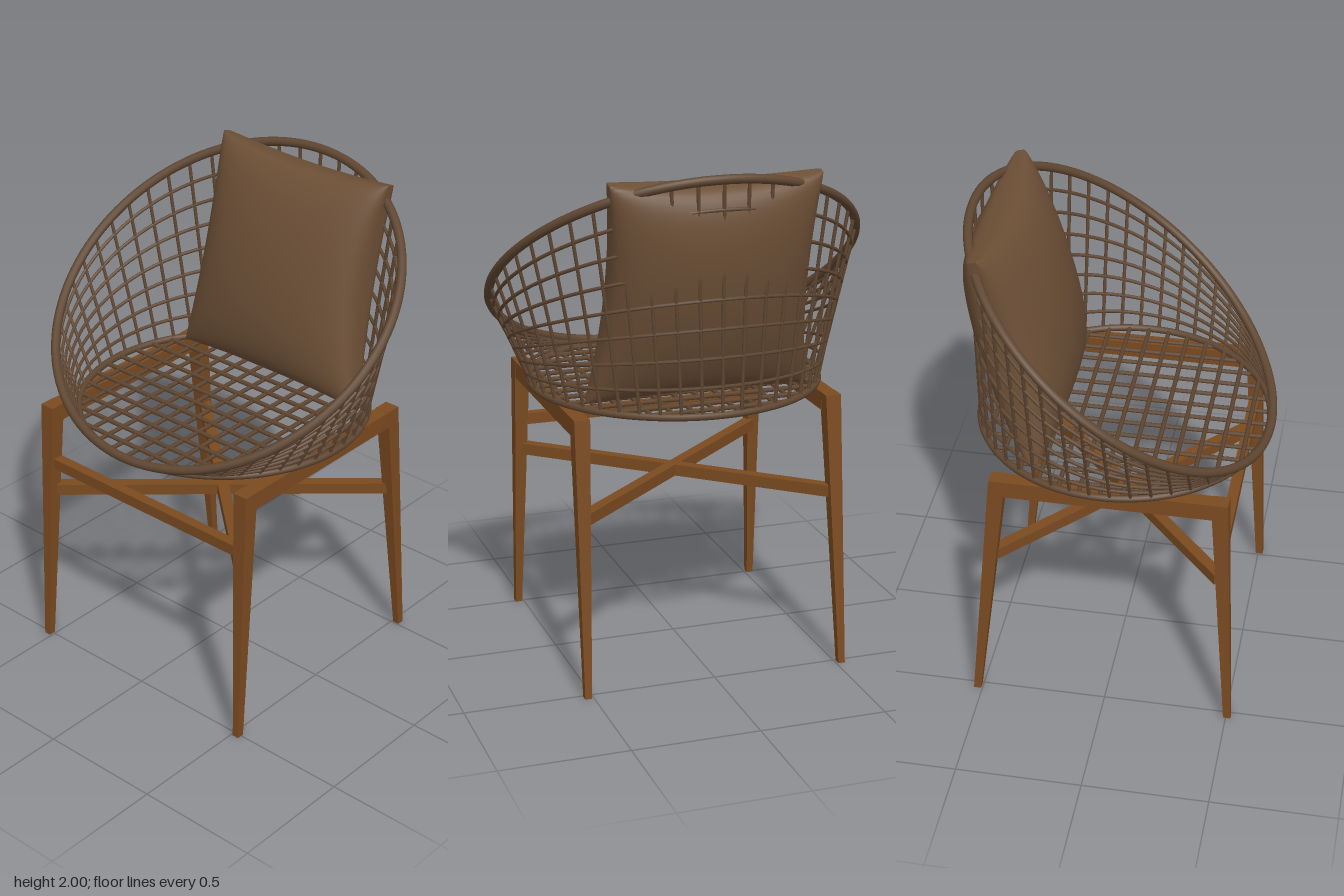
import * as THREE from 'three';
import { mergeGeometries, mergeVertices } from 'three/addons/utils/BufferGeometryUtils.js';

export function createModel() {
  const root = new THREE.Group();
  const mat = (name, color) => {
    const m = new THREE.MeshStandardMaterial({ color });
    m.name = name;
    return m;
  };
  const wood = mat('wood', 0x7a4a20);
  const wicker = mat('wicker', 0x5f4631);
  const fabric = mat('fabric', 0x6c4f36);

  const add = (name, geometry, material, parent = root) => {
    const mesh = new THREE.Mesh(geometry, material);
    mesh.name = name;
    parent.add(mesh);
    return mesh;
  };
  // straight round rod between two points
  const rod = (a, b, r, sides = 6) => {
    const d = b.clone().sub(a);
    const g = new THREE.CylinderGeometry(r, r, d.length(), sides, 1);
    g.applyQuaternion(new THREE.Quaternion().setFromUnitVectors(
      new THREE.Vector3(0, 1, 0), d.normalize()));
    return g.translate((a.x + b.x) / 2, (a.y + b.y) / 2, (a.z + b.z) / 2);
  };
  // closed tube through a function of angle
  const hoop = (fn, r, sides) => {
    const pts = [];
    for (let i = 0; i < 48; i++) pts.push(fn((i / 48) * Math.PI * 2));
    return new THREE.TubeGeometry(new THREE.CatmullRomCurve3(pts, true), 120, r, sides, true);
  };

  // ---- wooden frame ----
  const frame = new THREE.Group();
  frame.name = 'frame';
  root.add(frame);
  const H = 1.08;

  // tapered leg: outer face upright, inner face and z position slide with height
  const leg = (side, zTop, zBottom) => {
    const g = new THREE.BoxGeometry(1, 1, 1);
    const p = g.attributes.position;
    for (let i = 0; i < p.count; i++) {
      const t = p.getY(i) + 0.5;
      const outer = p.getX(i) * side > 0;
      const z = THREE.MathUtils.lerp(zBottom, zTop, t);
      const depth = THREE.MathUtils.lerp(0.03, 0.064, t);
      p.setXYZ(i, side * (outer ? 0.535 : THREE.MathUtils.lerp(0.508, 0.473, t)),
        t * H, z + p.getZ(i) * depth);
    }
    g.computeVertexNormals();
    return g;
  };
  for (const side of [1, -1]) {
    const label = side > 0 ? 'left' : 'right';
    add(label + 'FrontLeg', leg(side, 0.448, 0.505), wood, frame);
    add(label + 'BackLeg', leg(side, -0.403, -0.52), wood, frame);
    add(label + 'SideRail', new THREE.BoxGeometry(0.06, 0.07, 0.82), wood, frame)
      .position.set(side * 0.504, 1.044, 0.02);
    // diagonal stretcher, front leg to opposite back leg
    const stretcher = add(label + 'DiagonalStretcher',
      new THREE.BoxGeometry(Math.hypot(0.99, 0.89), 0.046, 0.045), wood, frame);
    stretcher.position.set(0, 0.697, 0.005);
    stretcher.rotation.y = side * Math.atan2(0.89, 0.99);
  }
  add('frontStretcher', new THREE.BoxGeometry(0.99, 0.045, 0.042), wood, frame)
    .position.set(0, 0.823, 0.455);

  // ---- woven basket ----
  const basket = new THREE.Group();
  basket.name = 'basket';
  root.add(basket);
  const R = 0.57, baseY = 1.09;
  const basePoint = (a) => new THREE.Vector3(R * Math.cos(a), baseY, R * Math.sin(a));
  const rimPoint = (a) => {
    const z = 0.575 * Math.sin(a);
    return new THREE.Vector3(0.727 * Math.cos(a), 1.535 - 0.775 * z, z);
  };
  const wall = (a, t) => basePoint(a).lerp(rimPoint(a), t);

  add('rim', hoop(rimPoint, 0.018, 10), wicker, basket);
  add('baseRing', hoop(basePoint, 0.014, 8), wicker, basket);

  const hoops = [], uprights = [], lattice = [];
  for (let k = 1; k < 8; k++) hoops.push(hoop((a) => wall(a, k / 8), 0.007, 6));
  const N = 46;
  for (let i = 0; i < N; i++) {
    const a = ((i + 0.5) / N) * Math.PI * 2;
    uprights.push(rod(wall(a, 0), wall(a, 1), 0.007));
  }
  // seat lattice clipped to the base ring
  for (let i = -6; i <= 6; i++) {
    const d = i * 0.082, h = Math.sqrt(R * R - d * d);
    lattice.push(rod(new THREE.Vector3(d, 1.085, -h), new THREE.Vector3(d, 1.085, h), 0.009));
    lattice.push(rod(new THREE.Vector3(-h, 1.092, d), new THREE.Vector3(h, 1.092, d), 0.009));
  }
  add('wallHoops', mergeGeometries(hoops), wicker, basket);
  add('wallUprights', mergeGeometries(uprights), wicker, basket);
  add('seatLattice', mergeGeometries(lattice), wicker, basket);

  // ---- back cushion: two puffed sheets sharing a pinched seam ----
  const sheet = (dir) => {
    const g = new THREE.PlaneGeometry(2, 2, 32, 32);
    const p = g.attributes.position;
    for (let i = 0; i < p.count; i++) {
      // crowd the grid toward the seam for a rounded edge
      const u = Math.sin(p.getX(i) * Math.PI / 2) * dir;
      const v = Math.sin(p.getY(i) * Math.PI / 2);
      const cu = Math.max(0, 1 - u * u), cv = Math.max(0, 1 - v * v);
      const x = u * (0.428 - 0.014 * v) * (1 - 0.09 * cv);
      const y = v * 0.445 * (1 - 0.05 * cu);
      const z = dir * (0.158 * Math.pow(cu * cv, 0.42) + 0.016);
      p.setXYZ(i, x, y, z);
    }
    g.deleteAttribute('uv');
    g.deleteAttribute('normal');
    return g;
  };
  // narrow band closing the seam
  const seam = () => {
    const g = new THREE.BoxGeometry(2, 2, 2, 32, 32, 1);
    const idx = Array.from(g.index.array).slice(0, g.groups[4].start);
    g.setIndex(idx);
    g.clearGroups();
    const p = g.attributes.position;
    for (let i = 0; i < p.count; i++) {
      const u = Math.sin(p.getX(i) * Math.PI / 2), v = Math.sin(p.getY(i) * Math.PI / 2);
      p.setXYZ(i, u * (0.428 - 0.014 * v) * (1 - 0.09 * (1 - v * v)),
        v * 0.445 * (1 - 0.05 * (1 - u * u)), p.getZ(i) * 0.016);
    }
    g.deleteAttribute('uv');
    g.deleteAttribute('normal');
    return g;
  };
  const puff = mergeVertices(mergeGeometries([sheet(1), sheet(-1), seam()]), 1e-4);
  puff.computeVertexNormals();
  const cushion = add('backCushion', puff, fabric);
  cushion.position.set(0, 1.54, -0.385);
  cushion.rotation.x = -0.235;

  return root;
}
